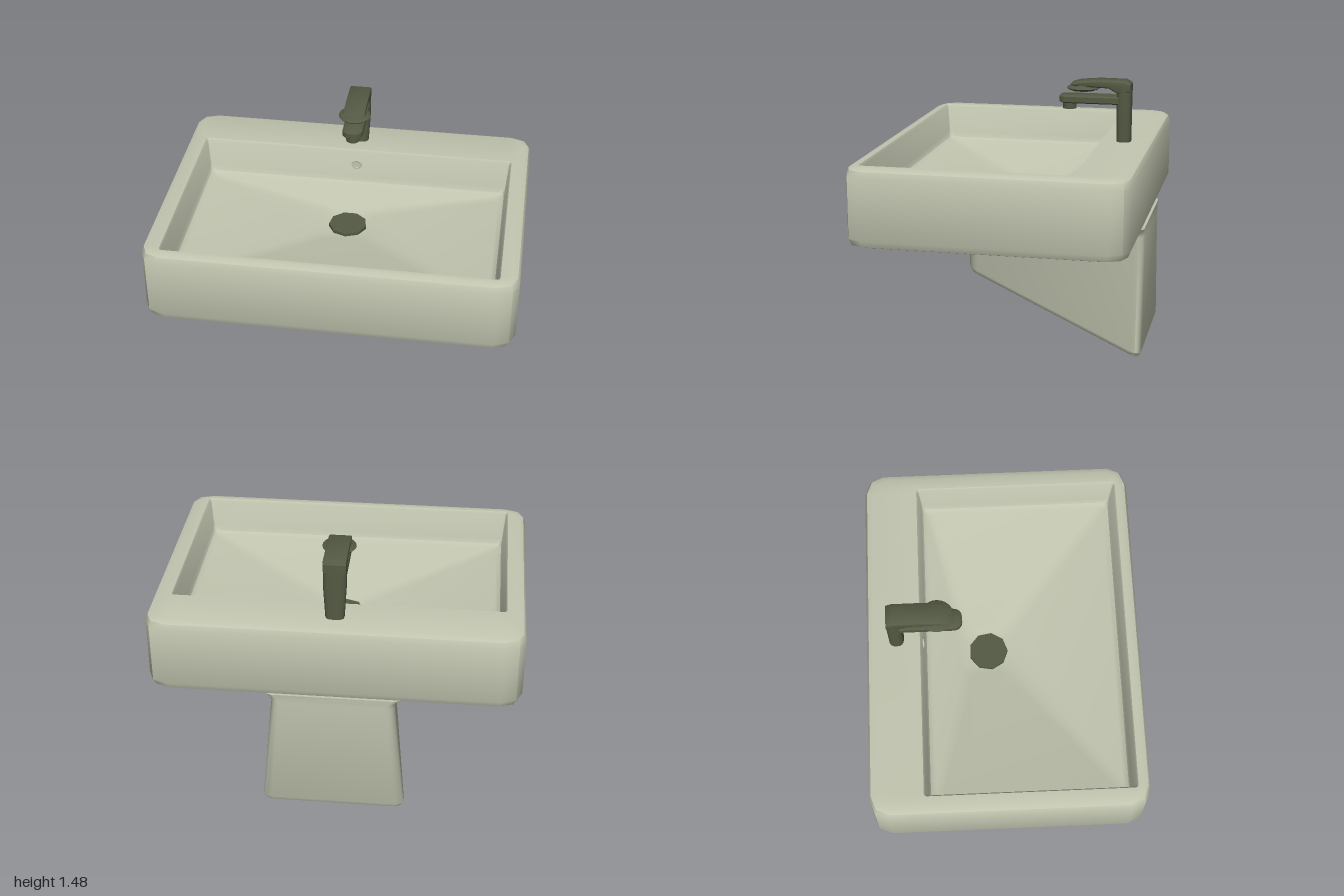
import * as THREE from 'three';
import { toCreasedNormals } from 'three/addons/utils/BufferGeometryUtils.js';

const ceramic = new THREE.MeshStandardMaterial({ color: 0xc2c6b0 });
const metal = new THREE.MeshStandardMaterial({ color: 0x545a44 });

// Rounded rectangle in plan, counter-clockwise from above
function ring(x0, x1, z0, z1, y, rx, rz = rx, n = 4) {
  const corners = [[x1 - rx, z0 + rz], [x0 + rx, z0 + rz], [x0 + rx, z1 - rz], [x1 - rx, z1 - rz]];
  const pts = [];
  corners.forEach(([cx, cz], q) => {
    for (let i = 0; i <= n; i++) {
      const a = (q + i / n) * Math.PI / 2;
      pts.push(new THREE.Vector3(cx + rx * Math.cos(a), y, cz - rz * Math.sin(a)));
    }
  });
  return pts;
}

// Skin over a stack of rings, closed at both ends
function loft(rings, crease = 0.75) {
  const n = rings[0].length, pos = [], idx = [];
  rings.forEach(r => r.forEach(p => pos.push(p.x, p.y, p.z)));
  for (let k = 0; k < rings.length - 1; k++) {
    for (let i = 0; i < n; i++) {
      const j = (i + 1) % n, a = k * n + i, b = k * n + j;
      idx.push(a, b, b + n, a, b + n, a + n);
    }
  }
  [0, rings.length - 1].forEach((k, end) => {
    const c = new THREE.Vector3();
    rings[k].forEach(p => c.addScaledVector(p, 1 / n));
    const ci = pos.length / 3;
    pos.push(c.x, c.y, c.z);
    for (let i = 0; i < n; i++) {
      const a = k * n + i, b = k * n + (i + 1) % n;
      if (end) idx.push(ci, a, b); else idx.push(ci, b, a);
    }
  });
  const g = new THREE.BufferGeometry();
  g.setAttribute('position', new THREE.Float32BufferAttribute(pos, 3));
  g.setIndex(idx);
  return toCreasedNormals(g, crease);
}

function add(group, name, geometry, material, x = 0, y = 0, z = 0) {
  const m = new THREE.Mesh(geometry, material);
  m.name = name;
  m.position.set(x, y, z);
  group.add(m);
  return m;
}

// Outer shell, rim, bowl walls and sloping floor as one skin
function basinGeometry() {
  const outer = (d, y) => ring(-1 + d, 1 - d, -0.745 + d, 0.745 - d, y, 0.11 - d * 0.5, 0.1 - d * 0.5, 2);
  const inner = (d, y, r) => ring(-0.89 + d, 0.89 - d, -0.445 + d, 0.67 - d, y, r, r, 2);
  return loft([
    outer(0.045, 0.72), outer(0.015, 0.73), outer(0, 0.765),
    outer(0, 1.1), outer(0.012, 1.13), outer(0.04, 1.143),
    inner(-0.008, 1.143, 0.015), inner(0, 1.13, 0.015),
    inner(0.012, 0.97, 0.02), inner(0.022, 0.94, 0.03), inner(0.05, 0.925, 0.04),
    ring(-0.15, 0.15, -0.23, 0.07, 0.872, 0.06, 0.06, 2),
    ring(-0.12, 0.12, -0.2, 0.04, 0.86, 0.06, 0.06, 2)
  ]);
}

// Wall bracket: widens to the back, underside slopes down to the wall
function bracketGeometry() {
  const level = (d, lift, top, flare = 0) => {
    const pts = ring(-1, 1, -0.745 + d, 0.26 - d + flare, 0, 0.14, 0.05, 4);
    pts.forEach(p => {
      p.y = top ?? Math.max(0, (p.z + 0.72) * 0.4) + lift;
      const t = THREE.MathUtils.clamp((p.z + 0.745) / 1.005, 0, 1);
      p.x *= THREE.MathUtils.lerp(0.405 - 0.1 * p.y, 0.235, t) - d + flare;
    });
    return pts;
  };
  return loft([
    level(0.035, 0), level(0.012, 0.01), level(0, 0.035),
    level(0, 0, 0.68), level(0, 0, 0.705, 0.012), level(0, 0, 0.73, 0.045)
  ]);
}

function faucet() {
  const g = new THREE.Group();
  g.name = 'faucet';

  // Column, slightly wider at the top
  const column = (w, y) => ring(-w, w, -0.62, -0.54, y, 0.035, 0.03);
  add(g, 'faucetColumn', loft([column(0.05, 1.135), column(0.055, 1.22), column(0.061, 1.32), column(0.061, 1.44)]), metal);

  // Flat spout with a rounded tip
  const spout = (d, y) => ring(-0.057 + d, 0.057 - d, -0.59, -0.215 - d, y, 0.045);
  add(g, 'spout', loft([spout(0.008, 1.353), spout(0, 1.36), spout(0, 1.389), spout(0.008, 1.397)]), metal);
  add(g, 'aerator', new THREE.CylinderGeometry(0.04, 0.038, 0.04, 20), metal, 0, 1.338, -0.272);

  // Lever drawn from the side and extruded across
  const side = [[-0.61, 1.43], [-0.608, 1.462], [-0.585, 1.476], [-0.44, 1.477], [-0.33, 1.468],
    [-0.295, 1.462], [-0.315, 1.458], [-0.5, 1.452], [-0.545, 1.425]];
  const shape = new THREE.Shape(side.slice().reverse().map(p => new THREE.Vector2(...p)));
  const lever = new THREE.ExtrudeGeometry(shape, {
    depth: 0.1, bevelThickness: 0.011, bevelSize: 0.009, bevelSegments: 3
  });
  lever.translate(0, 0, -0.05).rotateY(-Math.PI / 2);
  add(g, 'lever', toCreasedNormals(lever, 0.7), metal);

  // Round disc below the lever tip
  const profile = [[0, 1.422], [0.066, 1.422], [0.07, 1.428], [0.086, 1.43], [0.091, 1.436],
    [0.086, 1.443], [0.068, 1.446], [0.062, 1.455], [0, 1.457]];
  const disc = new THREE.LatheGeometry(profile.map(p => new THREE.Vector2(...p)), 28);
  add(g, 'leverDisc', toCreasedNormals(disc, 0.8), metal, 0, 0, -0.348);
  return g;
}

export function createModel() {
  const model = new THREE.Group();
  model.name = 'washbasin';
  add(model, 'basin', basinGeometry(), ceramic);
  add(model, 'wallBracket', bracketGeometry(), ceramic);
  add(model, 'drain', new THREE.CylinderGeometry(0.108, 0.108, 0.02, 9), metal, 0, 0.868, -0.08);

  // Overflow opening in the back wall of the bowl
  add(model, 'overflowRing', new THREE.TorusGeometry(0.024, 0.006, 8, 20), ceramic, 0, 1.05, -0.437);
  add(model, 'overflowHole', new THREE.CircleGeometry(0.022, 20), ceramic, 0, 1.05, -0.434);

  model.add(faucet());
  return model;
}
